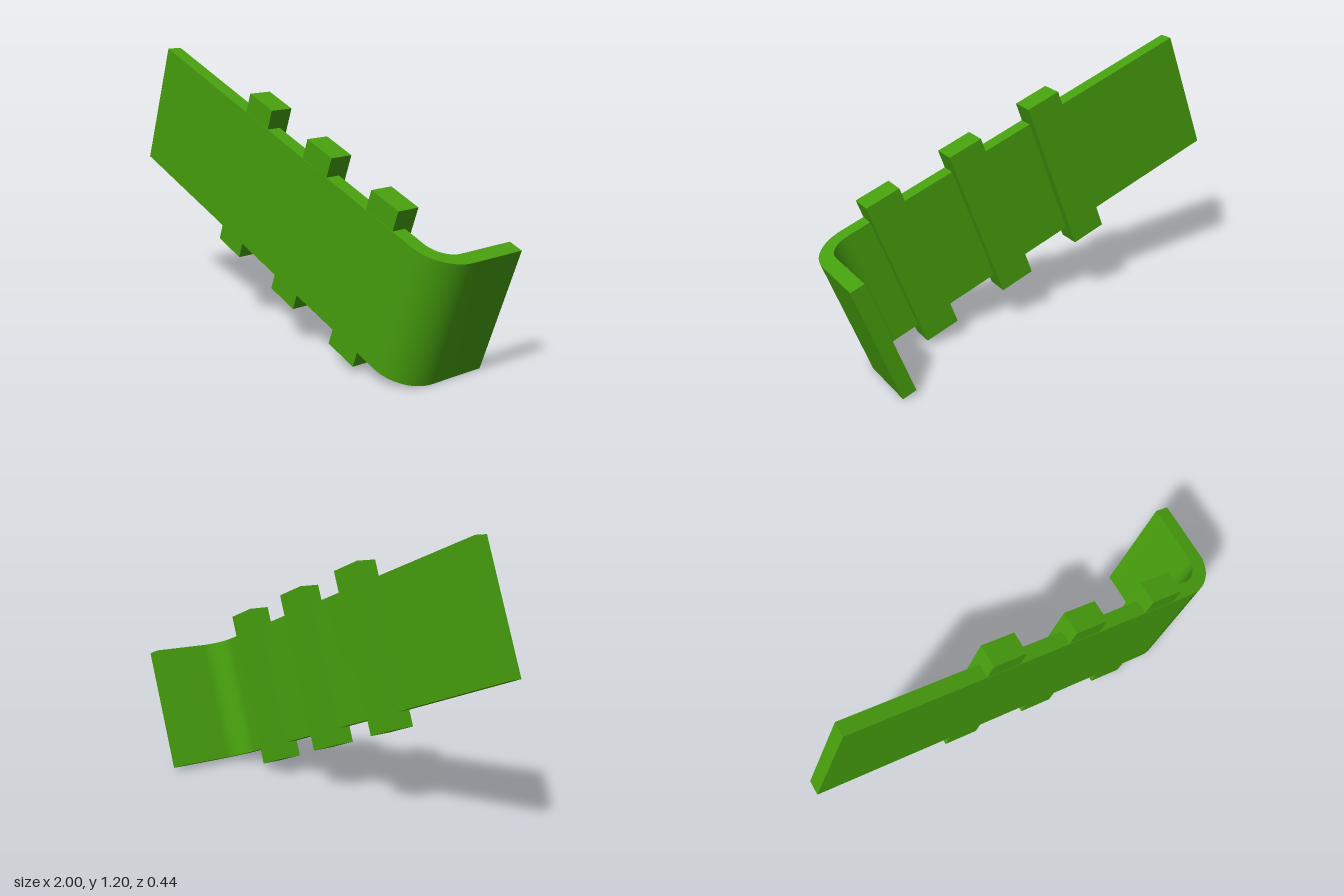
import * as THREE from 'three';
import { toCreasedNormals } from 'three/addons/utils/BufferGeometryUtils.js';

const LENGTH = 1.92, WIDTH = 0.574, THICK = 0.066;
const FRONT = 0.2185, BACK = -0.2185;
const OUTER_R = 0.166, INNER_R = OUTER_R - THICK;
const TILT = THREE.MathUtils.degToRad(20);

export function createModel() {
  const model = new THREE.Group();
  const green = new THREE.MeshStandardMaterial({ color: 0x47a00e });

  // Everything is laid out along the panel, then tilted
  const bracket = new THREE.Group();
  bracket.name = 'tiltedBracket';
  bracket.rotation.z = -TILT;
  bracket.position.set(-1, LENGTH * Math.sin(TILT), 0);
  model.add(bracket);

  // Bent panel: L-shaped cross-section with a rounded corner (shape y is -z)
  const cx = LENGTH - OUTER_R, cy = -FRONT + OUTER_R;
  const section = new THREE.Shape();
  section.moveTo(0, -FRONT);
  section.lineTo(cx, -FRONT);
  section.absarc(cx, cy, OUTER_R, -Math.PI / 2, 0, false);
  section.lineTo(LENGTH, -BACK);
  section.lineTo(LENGTH - THICK, -BACK);
  section.lineTo(LENGTH - THICK, cy);
  section.absarc(cx, cy, INNER_R, 0, -Math.PI / 2, true);
  section.lineTo(0, -FRONT + THICK);
  section.closePath();
  const panelGeo = new THREE.ExtrudeGeometry(section, { depth: WIDTH, bevelEnabled: false, curveSegments: 20 });
  panelGeo.rotateX(-Math.PI / 2);
  const panel = new THREE.Mesh(toCreasedNormals(panelGeo, 0.5), green);
  panel.name = 'bentPanel';
  bracket.add(panel);

  // Three cross slats, reaching past both long edges
  const slatWidth = 0.162, low = -0.073, high = 0.662;
  const slatFront = 0.2165, slatBack = 0.113;
  const slatGeo = new THREE.BoxGeometry(slatWidth, high - low, slatFront - slatBack);
  for (let i = 0; i < 3; i++) {
    const slat = new THREE.Mesh(slatGeo, green);
    slat.name = `crossSlat${i + 1}`;
    slat.position.set(0.652 + slatWidth / 2 + i * 0.4145, (low + high) / 2, (slatFront + slatBack) / 2);
    bracket.add(slat);
  }
  return model;
}
